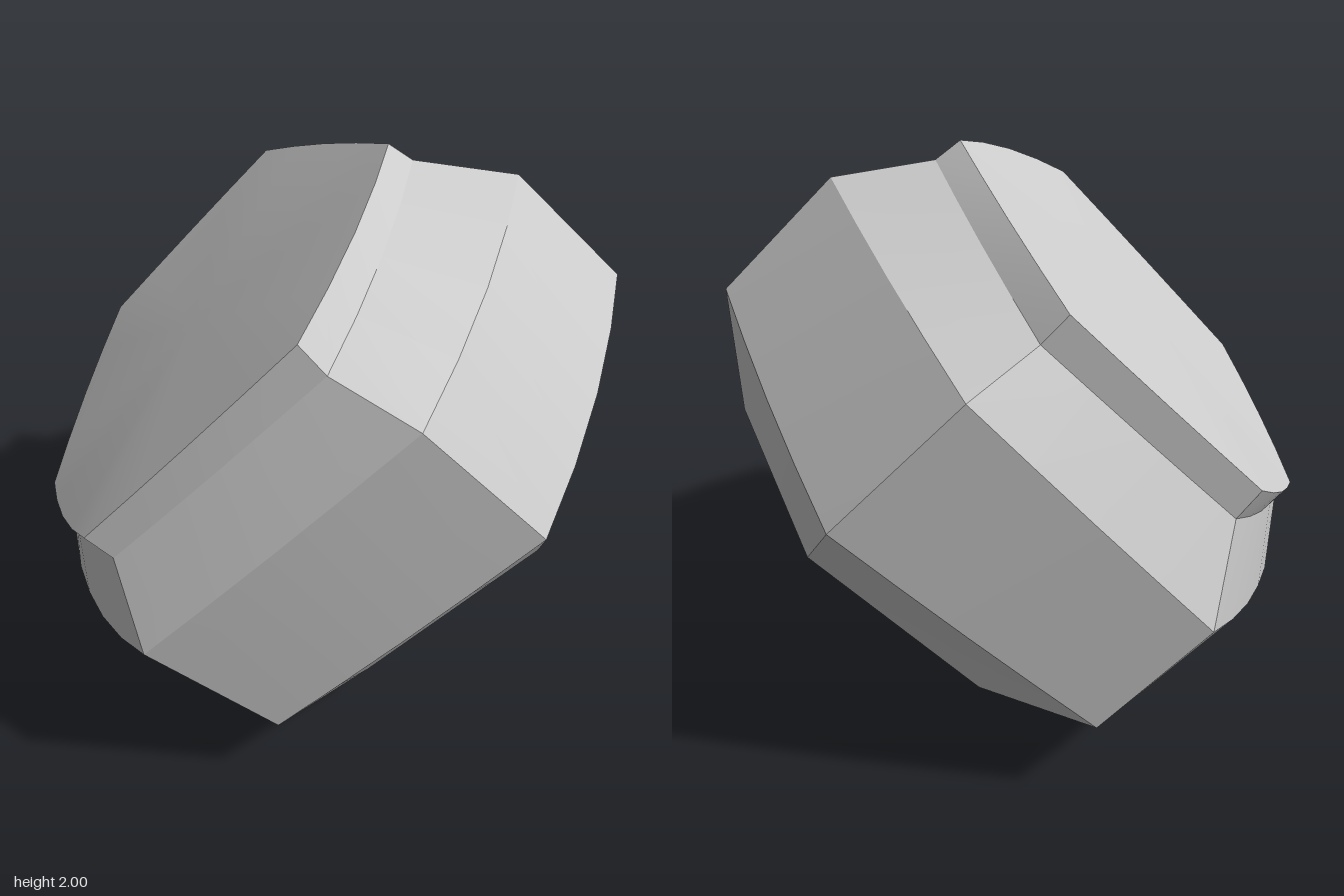
import * as THREE from 'three';
import { toCreasedNormals } from 'three/addons/utils/BufferGeometryUtils.js';

// Hexagonal cross-sections along the tilted axis, from the underside to the crown.
// Corner order: right, front right, front left, left, back left, back right.
const underside = [[0.97, 1.04, 0.02], [0.65, 0.73, 0.5], [0.09, 0.18, 0.45], [-0.06, 0, 0], [0.13, 0.22, -0.5], [0.68, 0.77, -0.51]];
const lowerBelt = [[0.98, 1.5, 0.01], [0.54, 1.09, 0.86], [-0.26, 0.28, 0.76], [-0.55, 0.01, 0], [-0.26, 0.33, -0.82], [0.54, 1.09, -0.86]];
const upperBelt = [[0.6, 1.88, 0.02], [0.15, 1.51, 0.87], [-0.67, 0.67, 0.77], [-0.94, 0.38, 0], [-0.6, 0.73, -0.84], [0.13, 1.52, -0.88]];
const capBase = [[0.26, 1.94, 0.01], [-0.09, 1.61, 0.71], [-0.74, 0.95, 0.63], [-0.94, 0.72, -0.02], [-0.67, 1.02, -0.66], [-0.07, 1.62, -0.715]];
const capTop = [[0.18, 2, 0.02], [-0.17, 1.71, 0.7], [-0.82, 1.03, 0.62], [-0.99, 0.77, -0.02], [-0.74, 1.12, -0.66], [-0.15, 1.71, -0.715]];

// Outward bow of each side between neighbouring corners
const bows = [0.05, 0.01, 0.04, 0.03, 0.01, 0.02];

// Turn six corners into a ring whose sides bow slightly
function makeRing(corners, bowScale = 1) {
  const points = corners.map((c) => new THREE.Vector3(...c));
  const centre = points.reduce((sum, p) => sum.add(p), new THREE.Vector3()).divideScalar(6);
  const ring = [];
  points.forEach((p, i) => {
    const next = points[(i + 1) % 6];
    for (const t of [0, 0.25, 0.5, 0.75]) {
      const q = p.clone().lerp(next, t);
      const out = q.clone().sub(centre).normalize();
      ring.push(q.addScaledVector(out, bows[i] * bowScale * 4 * t * (1 - t)));
    }
  });
  return { ring, centre };
}

// Skin a stack of rings and close the chosen ends
function makeSolid(name, rings, { bottom, top }) {
  const positions = [];
  const tri = (...pts) => pts.forEach((p) => positions.push(p.x, p.y, p.z));
  const n = rings[0].ring.length;
  for (let j = 0; j < n; j++) {
    const k = (j + 1) % n;
    for (let i = 0; i < rings.length - 1; i++) {
      const low = rings[i].ring, high = rings[i + 1].ring;
      tri(low[j], high[j], low[k]);
      tri(low[k], high[j], high[k]);
    }
    if (bottom) tri(bottom, rings[0].ring[j], rings[0].ring[k]);
    const last = rings[rings.length - 1].ring;
    if (top) tri(top, last[k], last[j]);
  }
  const geometry = new THREE.BufferGeometry();
  geometry.setAttribute('position', new THREE.Float32BufferAttribute(positions, 3));
  const mesh = new THREE.Mesh(toCreasedNormals(geometry, 0.35), new THREE.MeshStandardMaterial({ color: 0xcccccc }));
  mesh.name = name;
  return mesh;
}

export function createModel() {
  const group = new THREE.Group();
  group.name = 'tiltedHexagonalBlock';

  const base = makeRing(underside, 0);
  const shoulder = makeRing(capBase, 0.8);
  const crown = makeRing(capTop, 0.8);

  // Main body: bevelled underside, broad belt and bevelled shoulder
  group.add(makeSolid('body', [base, makeRing(lowerBelt), makeRing(upperBelt), shoulder], { bottom: base.centre }));

  // Raised, gently domed cap
  const dome = new THREE.Vector3(-0.46, 1.4, 0);
  group.add(makeSolid('cap', [shoulder, crown], { top: dome }));
  return group;
}
